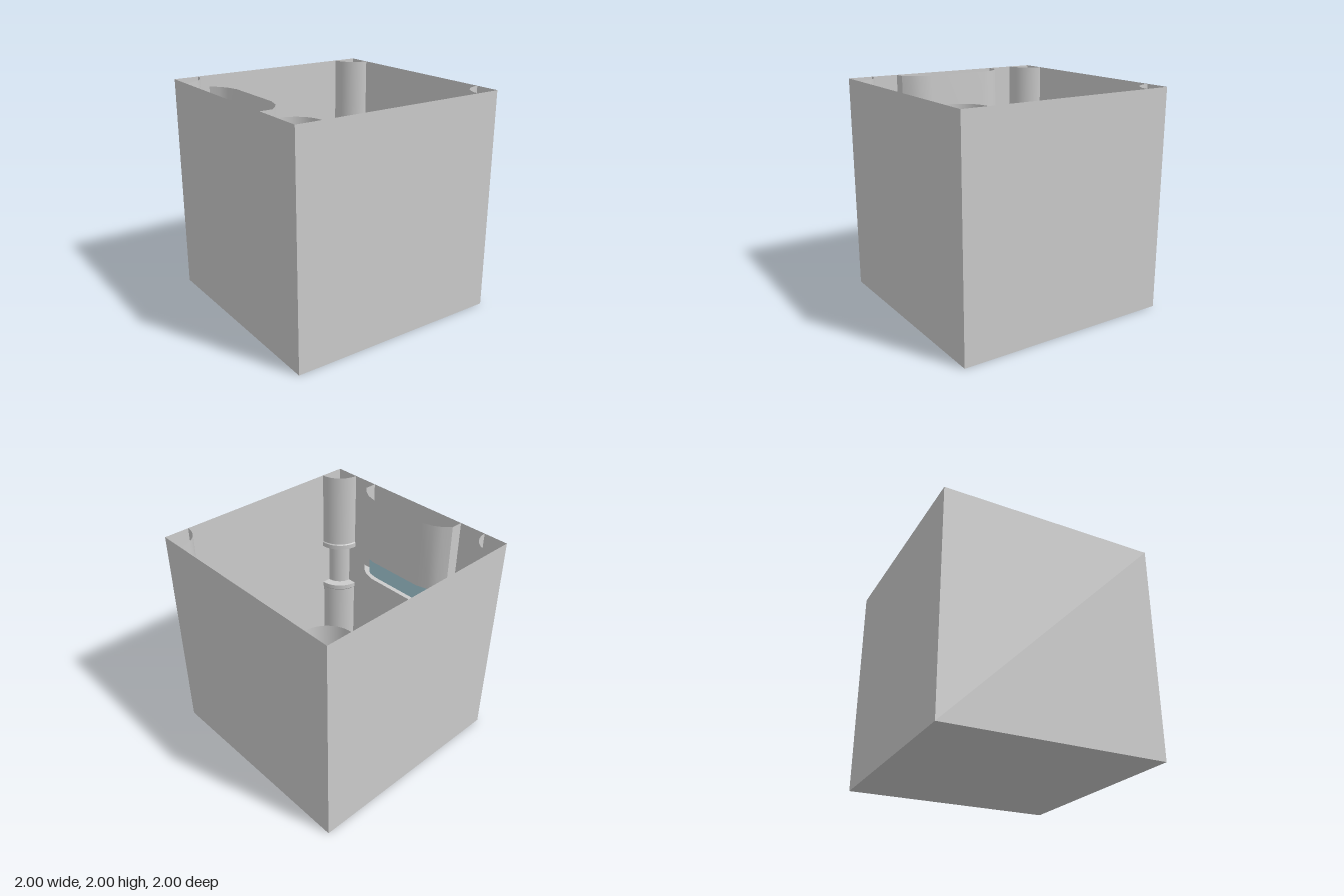
import * as THREE from 'three';

const grey = new THREE.MeshStandardMaterial({ color: 0xcccccc, side: THREE.DoubleSide });
const blue = new THREE.MeshStandardMaterial({ color: 0xa6cdd8, side: THREE.DoubleSide });

function add(parent, name, geometry, material = grey) {
  const mesh = new THREE.Mesh(geometry, material);
  mesh.name = name;
  parent.add(mesh);
  return mesh;
}

// Upright surface following a plan line of [x, z] points
function ribbon(plan, y0, y1) {
  const g = new THREE.PlaneGeometry(1, 1, plan.length - 1, 1);
  const p = g.attributes.position;
  for (let i = 0; i < p.count; i++) {
    const [x, z] = plan[i % plan.length];
    p.setXYZ(i, x, i < plan.length ? y1 : y0, z);
  }
  g.computeVertexNormals();
  return g;
}

// Mirrors a half plan line from +x to -x, listed from -x to +x
const mirrored = (half) => [...half.map(([x, z]) => [-x, z]), ...half.slice().reverse()];

export function createModel() {
  const model = new THREE.Group();

  // Open-topped room
  const floor = add(model, 'floor', new THREE.PlaneGeometry(2, 2));
  floor.rotation.x = -Math.PI / 2;
  ['frontWall', 'rightWall', 'backWall', 'leftWall'].forEach((name, i) => {
    const g = new THREE.PlaneGeometry(2, 2).translate(0, 1, 1);
    add(model, name, g.rotateY(-i * Math.PI / 2));
  });

  // Hollow quarter columns: wide ends with lips, narrow pipe between
  const sections = [
    [0.227, 2, 0.227, 1.275], [0.227, 1.275, 0.235, 1.265], [0.235, 1.265, 0.235, 1.22],
    [0.235, 1.22, 0.15, 1.22], [0.15, 1.22, 0.15, 0.78], [0.15, 0.78, 0.235, 0.78],
    [0.235, 0.78, 0.235, 0.735], [0.235, 0.735, 0.227, 0.725], [0.227, 0.725, 0.227, 0],
  ];
  for (let k = 0; k < 4; k++) {
    const column = new THREE.Group();
    column.name = 'cornerColumn';
    column.rotation.y = k * Math.PI / 2;
    for (const [r0, y0, r1, y1] of sections) {
      const line = [new THREE.Vector2(r1, y1), new THREE.Vector2(r0, y0)];
      const part = add(column, 'columnSection', new THREE.LatheGeometry(line, 12, 0, Math.PI / 2));
      part.position.set(-1, 0, -1);
    }
    model.add(column);
  }

  // Bowed booth against the front wall, with a window slot
  const booth = new THREE.Group();
  booth.name = 'booth';
  model.add(booth);
  const outer = mirrored([[0.52, 0.89], [0.46, 0.83], [0.39, 0.785], [0.28, 0.755]]);
  const inner = mirrored([[0.45, 0.89], [0.4, 0.84], [0.36, 0.815], [0.27, 0.8]]);
  const sill = 1.16, head = 1.355;
  add(booth, 'lowerPanel', ribbon(outer, 0, sill));
  add(booth, 'upperPanel', ribbon(outer, head, 2));
  add(booth, 'window', ribbon(inner, sill, head), blue);
  const band = new THREE.Shape([...outer, ...inner.slice().reverse()].map(([x, z]) => new THREE.Vector2(x, z)));
  for (const [name, y] of [['windowSill', sill], ['windowHead', head]]) {
    add(booth, name, new THREE.ShapeGeometry(band).rotateX(Math.PI / 2).translate(0, y, 0));
  }
  for (const s of [-1, 1]) {
    add(booth, 'boothSide', ribbon([[s * 0.52, 0.89], [s * 0.52, 1]], 0, 2));
    add(booth, 'windowJamb', ribbon([[s * 0.45, 0.89], [s * 0.52, 0.89]], sill, head));
  }

  // Round plate on the inward face of the booth
  const plate = add(booth, 'roundPlate', new THREE.CylinderGeometry(0.18, 0.18, 0.035, 32));
  plate.rotation.x = Math.PI / 2;
  plate.position.set(0, 0.6, 0.7375);

  return model;
}
